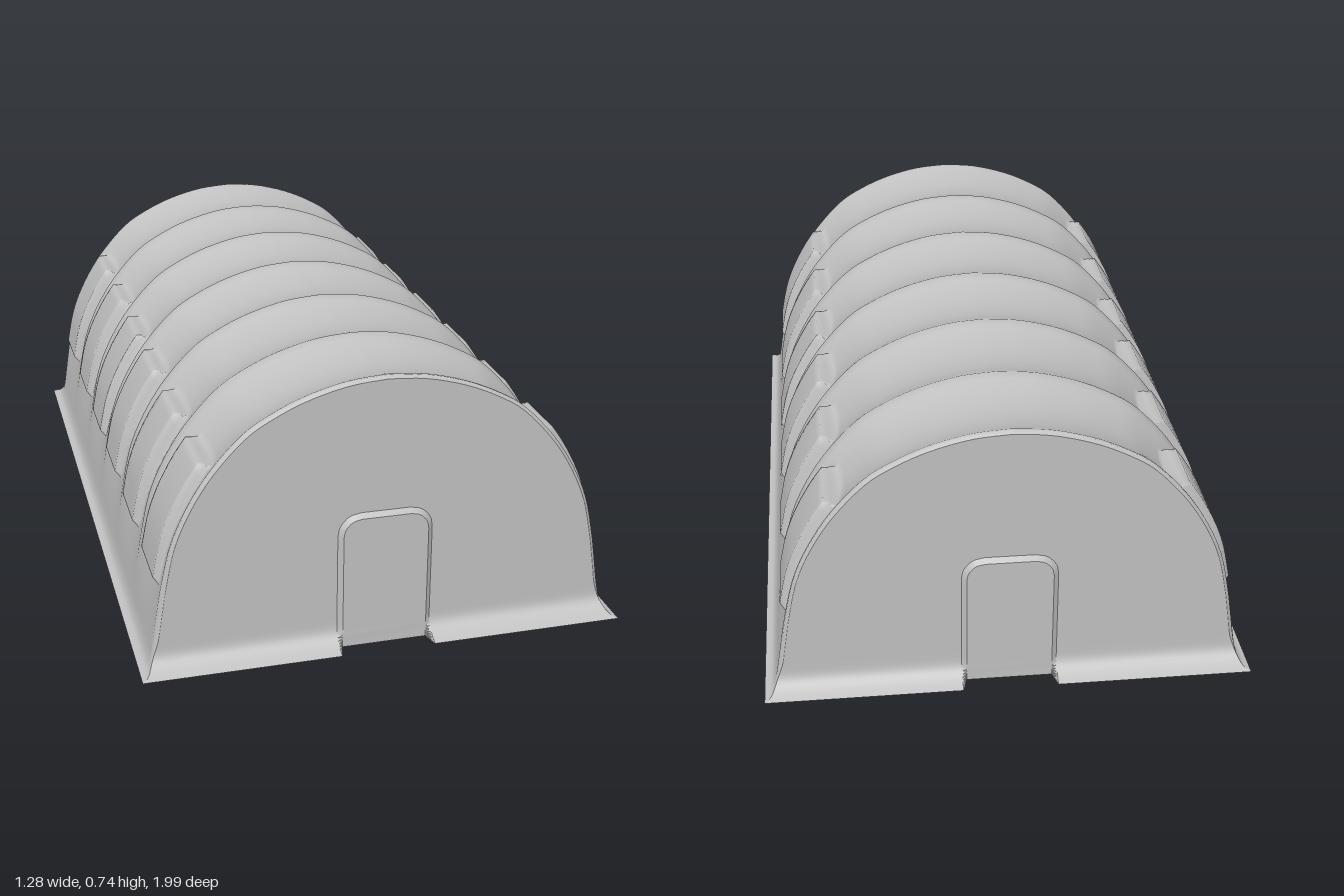
import * as THREE from 'three';
import { toCreasedNormals } from 'three/addons/utils/BufferGeometryUtils.js';

const END = 0.94;                                   // z of the end walls
const RIDGES = [-0.935, -0.63, -0.315, 0, 0.315, 0.63, 0.935];
const WINDOWS = [-0.795, -0.47, -0.15, 0.15, 0.47, 0.795];
const DOOR = { half: 0.125, top: 0.375, radius: 0.06, rim: 0.013, z: 0.951 };
const smooth = (v, a, b) => THREE.MathUtils.smoothstep(v, a, b);

// Half cross-section from the flared hem up to the crown
const arch = new THREE.SplineCurve([
  [0.64, 0], [0.622, 0.008], [0.611, 0.028], [0.603, 0.065], [0.59, 0.15], [0.576, 0.235],
  [0.552, 0.34], [0.511, 0.435], [0.452, 0.527], [0.37, 0.616], [0.295, 0.665],
  [0.205, 0.705], [0.1, 0.733], [0, 0.742],
].map(p => new THREE.Vector2(...p)));

// Surface from rows of points; columns run right and rows run up when seen from outside
function grid(rows) {
  const n = rows[0].length, index = [];
  for (let r = 0; r < rows.length - 1; r++) {
    for (let c = 0; c < n - 1; c++) {
      const a = r * n + c, b = a + 1, d = a + n, e = d + 1;
      index.push(a, b, e, a, e, d);
    }
  }
  const g = new THREE.BufferGeometry();
  g.setAttribute('position', new THREE.Float32BufferAttribute(rows.flat(2), 3));
  g.setIndex(index);
  g.computeVertexNormals();
  return g;
}

// Curve parameter at a given height
function paramAt(y) {
  let lo = 0, hi = 1;
  for (let i = 0; i < 40; i++) {
    const mid = (lo + hi) / 2;
    if (arch.getPoint(mid).y < y) lo = mid; else hi = mid;
  }
  return lo;
}

// Cross-section samples with outward normals, denser at window and door edges
function archSamples() {
  const us = [0.215, 0.222, 0.229, 0.521, 0.528, 0.535, 0.315, 0.335, 0.35, 0.362, 0.37, 0.375].map(paramAt);
  for (let i = 0; i <= 52; i++) us.push(i / 52);
  us.sort((a, b) => a - b);
  return us.map(u => {
    const p = arch.getPoint(u), t = arch.getTangent(u);
    if (u === 1) t.set(-1, 0);
    return { x: p.x, y: p.y, nx: t.y, ny: -t.x };
  });
}

// Sag of the fabric between neighbouring ribs
function sag(z) {
  for (let i = 0; i < RIDGES.length - 1; i++) {
    if (z >= RIDGES[i] && z <= RIDGES[i + 1]) {
      const f = (z - RIDGES[i]) / (RIDGES[i + 1] - RIDGES[i]);
      return 0.033 * 4 * f * (1 - f);
    }
  }
  return 0;
}

// Raised window panels: 1 inside, 0 outside, with a narrow soft edge
function windowMask(y, z) {
  const dz = Math.min(...WINDOWS.map(c => Math.abs(z - c)));
  return smooth(Math.min(0.1 - dz, y - 0.215, 0.535 - y), 0, 0.014);
}

const hem = y => 0.055 * Math.pow(Math.max(0, 1 - y / 0.065), 3);

function shellPoint(s, z) {
  const edge = Math.abs(z);
  const round = edge > 0.938 ? 0.012 : edge > 0.93 ? 0.003 : 0;
  const base = -sag(z) * smooth(s.y, 0.06, 0.48) - round * smooth(s.y, 0, 0.1);
  const o = THREE.MathUtils.lerp(base, 0.012, windowMask(s.y, z));
  const flare = edge > 0.938 ? hem(s.y) * Math.sign(z) : 0;
  return [s.x + s.nx * o, s.y + s.ny * o, z + flare];
}

function shellGeometry(samples) {
  const zs = [-END, -0.934, -0.925, 0.925, 0.934, END];
  for (const c of WINDOWS) for (const d of [0.1, 0.093, 0.086]) zs.push(c - d, c + d);
  for (let i = 0; i < 6; i++) {
    for (let k = 0; k < 14; k++) {
      const z = THREE.MathUtils.lerp(RIDGES[i], RIDGES[i + 1], k / 14);
      if (Math.abs(z) < 0.92 && zs.every(v => Math.abs(v - z) > 0.003)) zs.push(z);
    }
  }
  zs.sort((a, b) => a - b);
  return grid(zs.map(z => {
    const side = samples.map(s => shellPoint(s, z));
    const mirrored = side.slice(0, -1).reverse().map(([x, y, w]) => [-x, y, w]);
    return [...side, ...mirrored];
  }));
}

// Half width of the door opening at a height
function doorHalf(y) {
  const cy = DOOR.top - DOOR.radius, cx = DOOR.half - DOOR.radius;
  if (y <= cy) return DOOR.half;
  return cx + Math.sqrt(Math.max(0, DOOR.radius ** 2 - (y - cy) ** 2));
}

// One half of an end wall, stopping at the door outline
function wallGeometry(samples, side) {
  const rows = [];
  const add = (s, d) => {
    const outer = shellPoint(s, END);
    const inY = Math.abs(s.y - DOOR.top) < 1e-3 ? DOOR.top : d > 0 ? s.y : outer[1];
    const row = [[d * side, inY, END + hem(s.y)], [outer[0] * side, outer[1], outer[2]]];
    rows.push(side > 0 ? row : row.reverse());
  };
  for (const s of samples) {
    const atTop = Math.abs(s.y - DOOR.top) < 1e-3;
    if (s.y < DOOR.top || atTop) add(s, atTop ? DOOR.half - DOOR.radius : doorHalf(s.y));
    if (s.y > DOOR.top || atTop) add(s, 0);
  }
  return grid(rows);
}

// Raised door panel with a bevelled rim that meets the wall and its hem
function doorGeometry(samples) {
  const cx = DOOR.half - DOOR.radius, cy = DOOR.top - DOOR.radius;
  const k = 1 - DOOR.rim / DOOR.radius;
  const rows = [];
  const add = (d, y) => {
    const ix = cx + (d - cx) * k, iy = y > cy ? cy + (y - cy) * k : y, w = END + hem(y);
    rows.push([[-d, y, w], [-ix, iy, DOOR.z], [ix, iy, DOOR.z], [d, y, w]]);
  };
  for (const s of samples) if (s.y < DOOR.top - 1e-3) add(doorHalf(s.y), s.y);
  add(cx, DOOR.top);
  rows.push([-cx, -cx, cx, cx].map(x => [x, DOOR.top, END]));
  return toCreasedNormals(grid(rows), 0.5);
}

export function createModel() {
  const model = new THREE.Group();
  model.name = 'archedTent';
  const fabric = new THREE.MeshStandardMaterial({ color: 0xc0c0c0, side: THREE.DoubleSide });
  fabric.name = 'greyFabric';
  const samples = archSamples();

  const part = (name, geometry, parent) => {
    const mesh = new THREE.Mesh(geometry, fabric);
    mesh.name = name;
    parent.add(mesh);
  };

  // Ribbed roof with raised windows
  part('roofShell', shellGeometry(samples), model);

  // Identical end walls, front and back
  const walls = [wallGeometry(samples, 1), wallGeometry(samples, -1)];
  const door = doorGeometry(samples);
  for (const name of ['front', 'back']) {
    const end = new THREE.Group();
    end.name = name + 'End';
    if (name === 'back') end.rotation.y = Math.PI;
    part(name + 'WallLeft', walls[0], end);
    part(name + 'WallRight', walls[1], end);
    part(name + 'Door', door, end);
    model.add(end);
  }
  return model;
}
